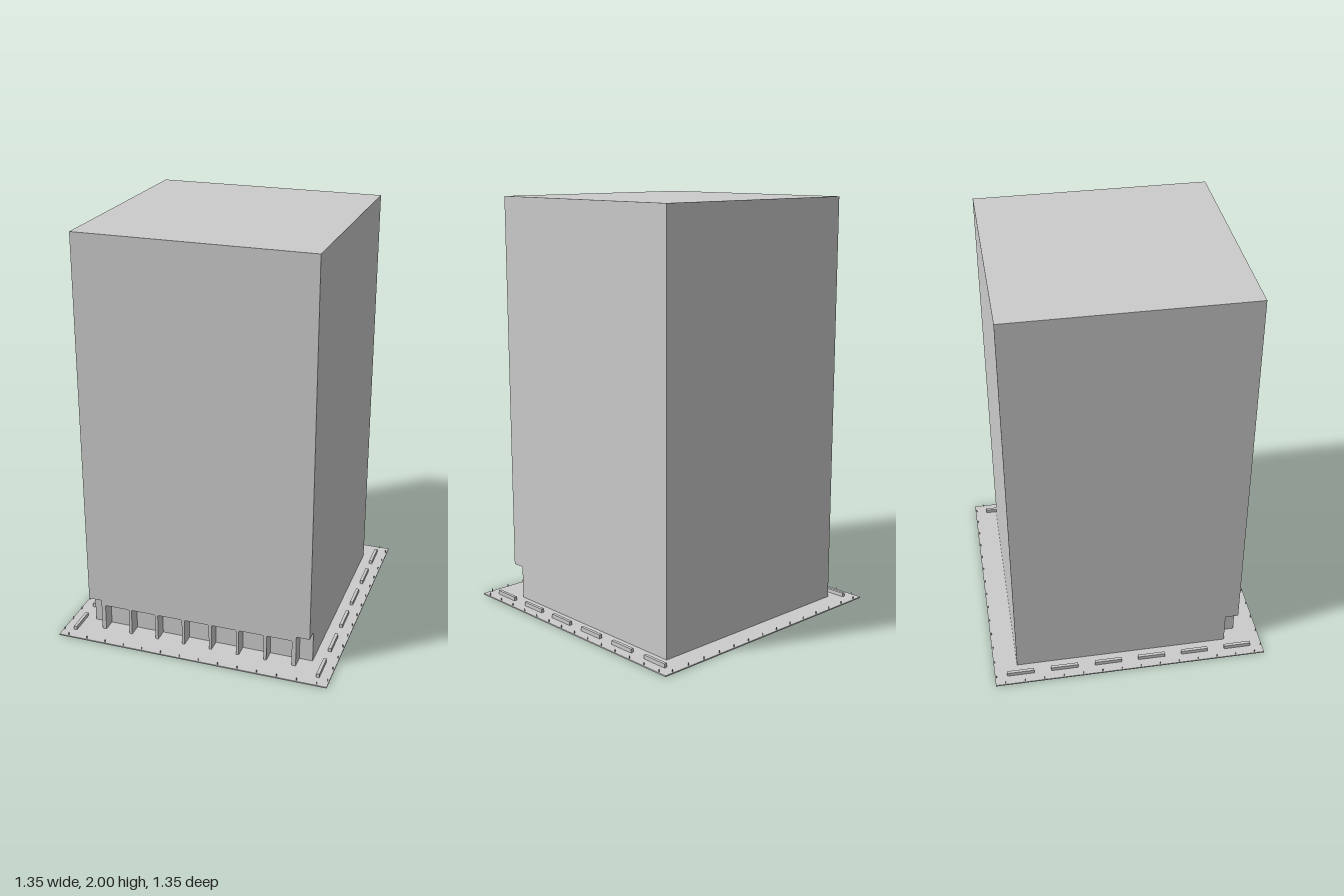
import * as THREE from 'three';

export function createModel() {
  const model = new THREE.Group();
  const grey = new THREE.MeshStandardMaterial({ color: 0xcccccc, flatShading: true });
  const add = (name, geometry, x, y, z, parent = model) => {
    const mesh = new THREE.Mesh(geometry, grey);
    mesh.name = name;
    mesh.position.set(x, y, z);
    parent.add(mesh);
    return mesh;
  };
  const group = (name) => {
    const g = new THREE.Group();
    g.name = name;
    model.add(g);
    return g;
  };

  const plate = 0.006, half = 0.56, inner = 0.495, top = 2;

  // Thin pavement plate
  add('pavement', new THREE.BoxGeometry(1.35, plate, 1.35), 0, plate / 2, 0);

  // Main tower body, behind the ground-floor arcade
  add('towerBody', new THREE.BoxGeometry(2 * half, top - plate, half + inner),
    0, (top + plate) / 2, (inner - half) / 2);

  // Front slab with cut corners and seven round-cornered openings
  const s = new THREE.Shape();
  const notch = 0.165, head = 0.14, r = 0.008, pitch = 0.1375, opening = 0.124;
  s.moveTo(-half, notch);
  s.lineTo(-inner, notch);
  s.lineTo(-inner, plate);
  for (let i = -3; i <= 3; i++) {
    const a = i * pitch - opening / 2, b = a + opening;
    s.lineTo(a, plate);
    s.lineTo(a, head - r);
    s.quadraticCurveTo(a, head, a + r, head);
    s.lineTo(b - r, head);
    s.quadraticCurveTo(b, head, b, head - r);
    s.lineTo(b, plate);
  }
  s.lineTo(inner, plate);
  s.lineTo(inner, notch);
  s.lineTo(half, notch);
  s.lineTo(half, top);
  s.lineTo(-half, top);
  s.closePath();
  add('frontArcade', new THREE.ExtrudeGeometry(s,
    { depth: half - inner, bevelEnabled: false, curveSegments: 4 }), 0, 0, inner);

  // Low kerb bars along both sides
  const kerbs = group('kerbs');
  const kerbGeo = new THREE.BoxGeometry(0.015, 0.019, 0.134);
  for (const side of [-1, 1])
    for (let i = 0; i < 6; i++)
      add('kerb', kerbGeo, side * 0.617, plate + 0.0095, (i - 2.5) * 0.219, kerbs);

  // Tiny posts around the pavement edge
  const posts = group('edgePosts');
  const postGeo = new THREE.BoxGeometry(0.003, 0.014, 0.003);
  for (let i = 0; i < 14; i++) {
    const t = (i - 6.5) * 0.0964;
    for (const side of [-1, 1]) {
      add('post', postGeo, t, plate + 0.007, side * 0.668, posts);
      add('post', postGeo, side * 0.668, plate + 0.007, t, posts);
    }
  }
  return model;
}
